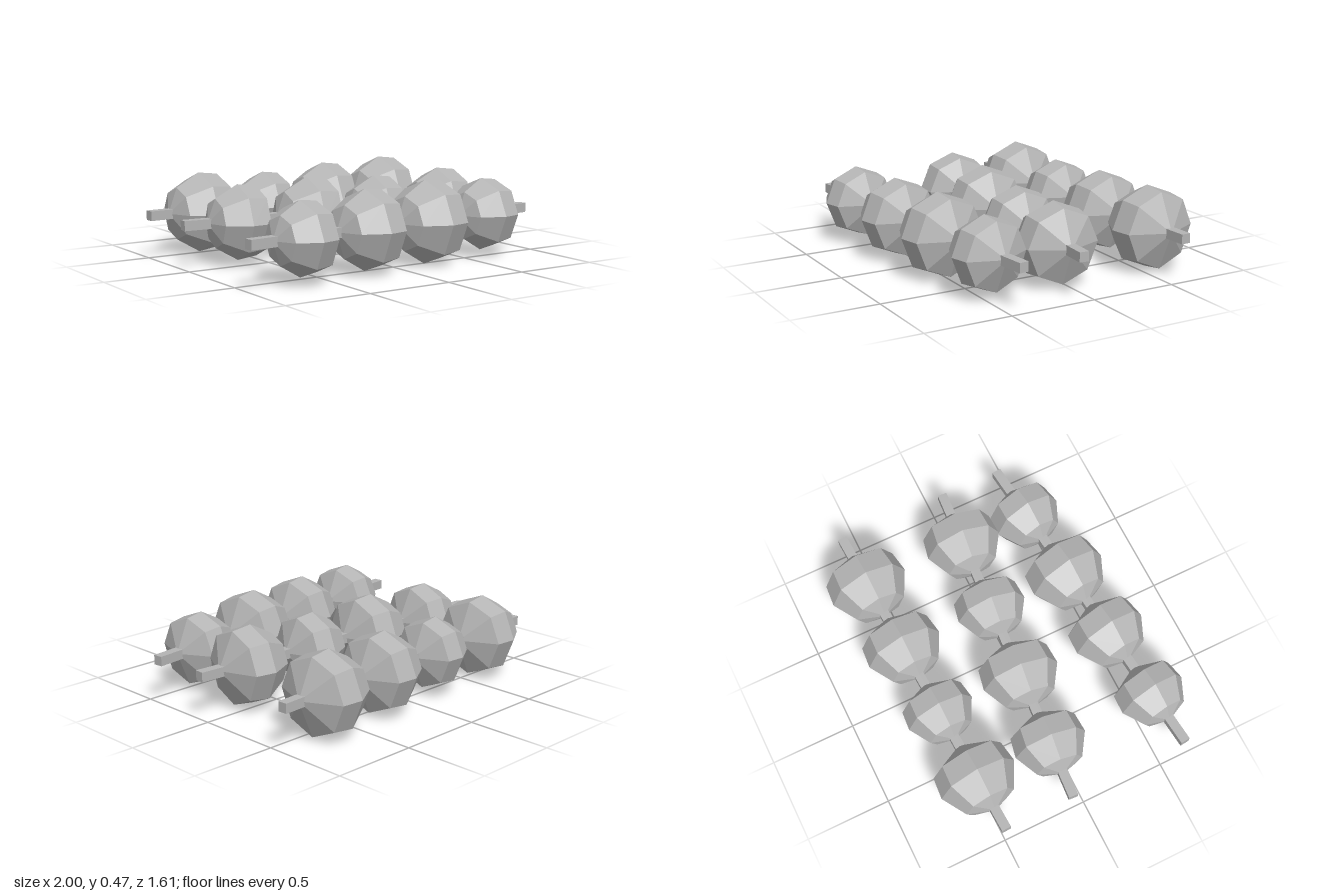
import * as THREE from 'three';

// Faceted bead of unit radius, strung along x: blunt -x end, wide flat cone at +x
function beadGeometry() {
  const profile = [[0, -0.92], [0.65, -0.68], [1, -0.05], [0.93, 0.49], [0, 0.92]]
    .map(([r, h]) => new THREE.Vector2(r, h));
  let geo = new THREE.LatheGeometry(profile, 8);
  geo.rotateZ(-Math.PI / 2);
  // Slightly flattened top and fuller underside
  const pos = geo.attributes.position;
  for (let i = 0; i < pos.count; i++) {
    const y = pos.getY(i);
    pos.setY(i, y * (y > 0 ? 0.97 : 1.04));
  }
  geo = geo.toNonIndexed();
  geo.computeVertexNormals();
  return geo;
}

export function createModel() {
  const group = new THREE.Group();
  const gray = new THREE.MeshStandardMaterial({ color: 0xb4b4b4 });
  gray.name = 'plain gray';

  const bead = beadGeometry();
  const stick = new THREE.BoxGeometry(1.998, 0.055, 0.055);
  const axisY = 0.253;

  // Each row: z of the stick at x = 0, yaw, and beads as [x, radius]
  const rows = [
    { z: -0.54, yaw: 0.05, beads: [[-0.66, 0.231], [-0.22, 0.202], [0.222, 0.227], [0.665, 0.235]] },
    { z: -0.005, yaw: -0.07, beads: [[-0.66, 0.212], [-0.222, 0.228], [0.22, 0.207], [0.662, 0.226]] },
    { z: 0.53, yaw: 0.105, beads: [[-0.66, 0.203], [-0.22, 0.223], [0.22, 0.235], [0.66, 0.207]] },
  ];

  rows.forEach((row, r) => {
    const skewer = new THREE.Group();
    skewer.name = `skewer${r + 1}`;
    skewer.position.set(0, axisY, row.z);
    skewer.rotation.y = row.yaw;

    const rod = new THREE.Mesh(stick, gray);
    rod.name = 'stick';
    skewer.add(rod);

    row.beads.forEach(([x, radius], i) => {
      const chunk = new THREE.Mesh(bead, gray);
      chunk.name = `chunk${i + 1}`;
      chunk.position.x = x;
      chunk.scale.setScalar(radius);
      skewer.add(chunk);
    });
    group.add(skewer);
  });
  return group;
}
